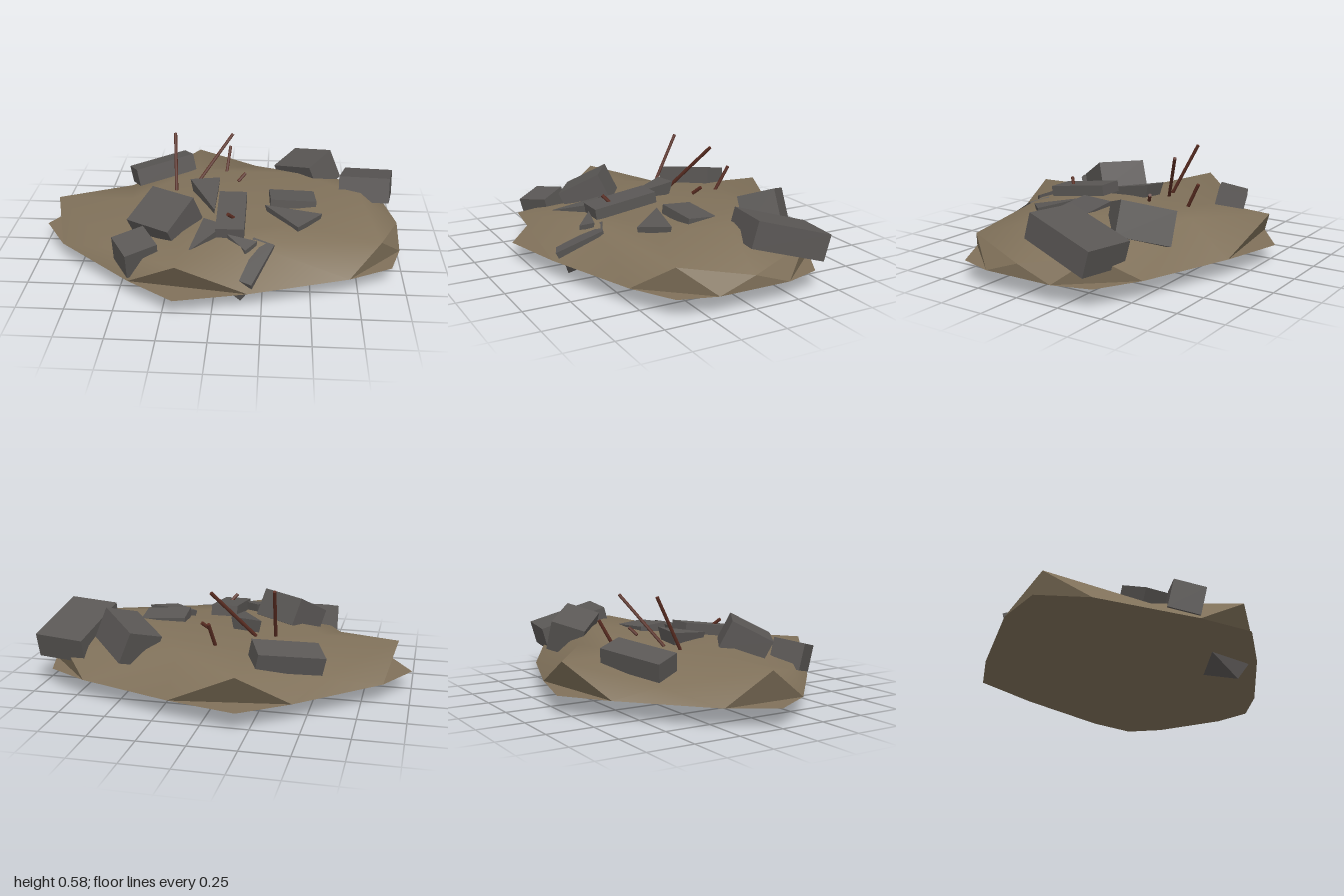
import * as THREE from 'three';
import { ConvexGeometry } from 'three/addons/geometries/ConvexGeometry.js';

const V = (p) => new THREE.Vector3(...p);

export function createModel() {
  const group = new THREE.Group();
  const earth = new THREE.MeshStandardMaterial({ name: 'earth', color: 0x80715a, side: THREE.DoubleSide });
  const concrete = new THREE.MeshStandardMaterial({ name: 'concrete', color: 0x5a5755 });
  const rust = new THREE.MeshStandardMaterial({ name: 'rust', color: 0x5a2d22 });

  const add = (name, geometry, material) => {
    const mesh = new THREE.Mesh(geometry, material);
    mesh.name = name;
    group.add(mesh);
    return mesh;
  };

  // Mound corners: those on the centre line, then those mirrored in z ("+" and "-")
  const pts = {
    top: [0, 0.3, 0], inW: [-0.5, 0.275, 0], tip: [-0.92, 0.27, 0],
    ridge: [0.77, 0.34, 0], east: [0.99, 0.17, 0],
  };
  const paired = {
    inA: [-0.17, 0.28, 0.42], inB: [0.43, 0.28, 0.28],
    peak: [-0.18, 0.27, 0.765], horn: [0.87, 0.235, 0.37],
    dipA: [-0.56, 0.17, 0.41], bump: [0.18, 0.27, 0.49],
    q: [-0.86, 0.1, 0.24], s: [-0.44, 0.1, 0.62], w: [0.18, 0.1, 0.71],
    x: [0.7, 0.1, 0.53], e: [0.99, 0.1, 0.2],
  };
  for (const [k, [x, y, z]] of Object.entries(paired)) {
    pts[k + '+'] = [x, y, z];
    pts[k + '-'] = [x, y, -z];
  }
  // The back shoulder is higher
  pts['inB-'][1] = 0.335;
  pts['bump-'][1] = 0.285;
  const names = Object.keys(pts);

  // Triangles from corner names, wound to face away from the given centre
  const surface = (faces, centre) => {
    const index = [];
    for (const face of faces) {
      const [a, b, c] = face.split(' ').map((n) => names.indexOf(n));
      const [A, B, C] = [a, b, c].map((i) => V(pts[names[i]]));
      const n = B.clone().sub(A).cross(C.clone().sub(A));
      const mid = A.clone().add(B).add(C).divideScalar(3).sub(centre);
      index.push(...(n.dot(mid) > 0 ? [a, b, c] : [a, c, b]));
    }
    const g = new THREE.BufferGeometry();
    g.setAttribute('position', new THREE.Float32BufferAttribute(Object.values(pts).flat(), 3));
    g.setIndex(index);
    return g;
  };
  const both = (faces) => faces.flatMap((f) => ['+', '-'].map((m) => f.replaceAll('*', m)));

  // Smooth upper surface of the mound
  const crown = surface([
    'top inB+ inB-', 'inB+ ridge inB-',
    ...both(['top inW inA*', 'top inA* inB*', 'inW tip dipA*', 'inW dipA* inA*', 'inA* dipA* peak*',
      'inA* peak* bump*', 'inA* bump* inB*', 'inB* bump* horn*', 'inB* horn* ridge', 'ridge horn* east',
      'tip q* dipA*', 'dipA* q* s*', 'dipA* s* peak*', 'peak* w* bump*', 'bump* w* x*', 'bump* x* horn*']),
  ], new THREE.Vector3(0, -1, 0));
  crown.computeVertexNormals();
  add('moundTop', crown, earth);

  // Flat overhanging walls under the corners
  const walls = surface([
    'tip q+ q-', 'east e+ e-',
    ...both(['peak* s* w*', 'horn* x* e*', 'horn* e* east']),
  ], new THREE.Vector3(0, 0.25, 0)).toNonIndexed();
  walls.computeVertexNormals();
  add('moundWalls', walls, earth);

  // Flat floor with pointed corners beyond the walls
  const half = [[-1, 0], [-0.86, 0.24], [-0.44, 0.62], [-0.19, 0.8], [0.18, 0.71],
    [0.7, 0.53], [0.93, 0.4], [0.99, 0.2]];
  const outline = [...half, ...half.slice(1).reverse().map(([x, z]) => [x, -z])];
  const floor = new THREE.ShapeGeometry(new THREE.Shape(outline.map(([x, z]) => new THREE.Vector2(x, z))));
  floor.rotateX(Math.PI / 2).translate(0, 0.1, 0);
  add('moundFloor', floor, earth);

  // Concrete blocks: centre, size, [tilt x, yaw, roll z] in degrees
  const blocks = [
    [[-0.38, 0.28, -0.435], [0.36, 0.1, 0.16], [-13, 24, 8]],
    [[0.49, 0.31, -0.38], [0.29, 0.18, 0.2], [16, -40, 15]],
    [[0.83, 0.29, -0.24], [0.28, 0.14, 0.41], [-16, -9, 2]],
    [[-0.28, 0.305, 0.3], [0.28, 0.16, 0.25], [27, -32, 2]],
    [[-0.41, 0.22, 0.525], [0.18, 0.15, 0.17], [12, 33, 8]],
    [[0.075, 0.325, 0.27], [0.15, 0.06, 0.36], [8, 0, 0]],
    [[0.4, 0.31, 0.03], [0.25, 0.05, 0.17], [-5, 4, -3]],
    [[0.2, 0.195, 0.56], [0.12, 0.04, 0.27], [26, -27, -8]],
  ];
  blocks.forEach(([c, size, r], i) => {
    const mesh = add('concreteBlock' + (i + 1), new THREE.BoxGeometry(...size), concrete);
    mesh.position.set(...c);
    const [rx, ry, rz] = r.map(THREE.MathUtils.degToRad);
    mesh.rotation.set(rx, ry, rz, 'YXZ');
  });

  // Three-cornered shards: upper triangle and thickness, tapering downwards
  const shards = [
    [[[0.25, 0.325, 0.14], [0.56, 0.32, 0.22], [0.43, 0.3, 0.35]], 0.08],
    [[[-0.18, 0.36, -0.1], [-0.01, 0.375, -0.1], [-0.02, 0.32, 0.21]], 0.07],
    [[[-0.07, 0.33, 0.33], [0.05, 0.33, 0.4], [-0.13, 0.27, 0.6]], 0.07],
    [[[0.06, 0.3, 0.45], [0.22, 0.285, 0.49], [0.16, 0.26, 0.55]], 0.08],
  ];
  shards.forEach(([tri, t], i) => {
    const upper = tri.map(V);
    const mid = upper[0].clone().add(upper[1]).add(upper[2]).divideScalar(3);
    const lower = upper.map((p) => p.clone().lerp(mid, 0.15).add(new THREE.Vector3(0, -t, 0)));
    add('concreteShard' + (i + 1), new ConvexGeometry([...upper, ...lower]), concrete);
  });

  // Pointed chunk sticking out below the floor
  add('buriedChunk', new ConvexGeometry(
    [[0.14, 0, 0.61], [-0.05, 0.105, 0.53], [0.2, 0.105, 0.66], [0.24, 0.105, 0.37]].map(V)), concrete);

  // Bent reinforcing rods, from foot to tip
  const rods = [
    [[-0.262, 0.28, -0.11], [-0.28, 0.575, -0.265]],
    [[-0.16, 0.29, -0.15], [0.05, 0.56, -0.31]],
    [[0.01, 0.28, -0.365], [0.03, 0.43, -0.445]],
    [[0.09, 0.32, -0.175], [0.13, 0.36, -0.205]],
    [[0.09, 0.34, 0.34], [0.06, 0.375, 0.37]],
  ];
  rods.forEach(([a, b], i) => {
    const dir = V(b).sub(V(a));
    const mesh = add('rod' + (i + 1), new THREE.CylinderGeometry(0.01, 0.01, dir.length(), 6), rust);
    mesh.position.copy(V(a)).addScaledVector(dir, 0.5);
    mesh.quaternion.setFromUnitVectors(new THREE.Vector3(0, 1, 0), dir.normalize());
  });

  return group;
}
